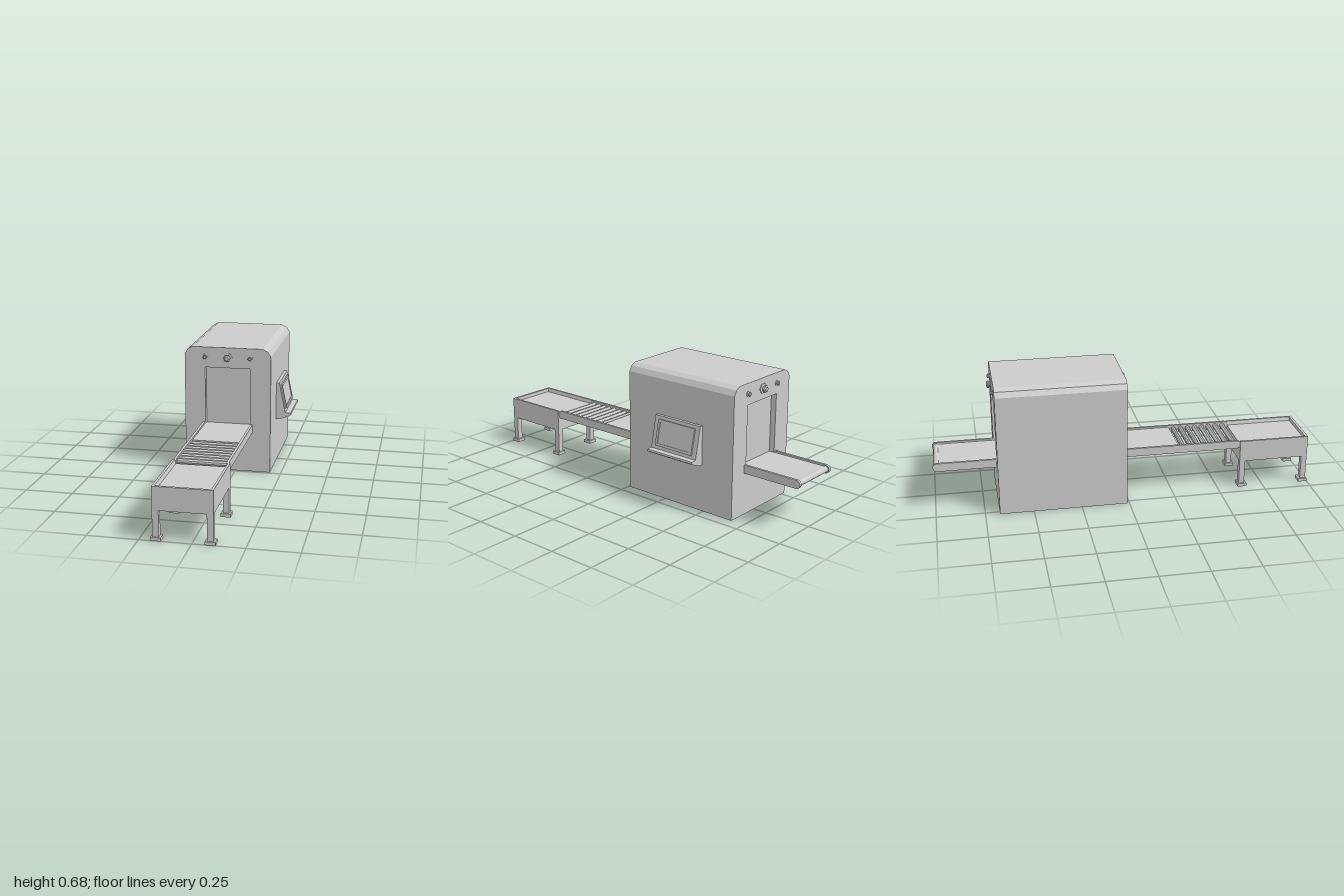
import * as THREE from 'three';

const CX = -0.0425; // centre line of the machine
const BACK = -0.676, FRONT = -0.011, RECESS = 0.03;
const mat = new THREE.MeshStandardMaterial({ color: 0xcccccc, flatShading: true });

function add(parent, name, geo, x = 0, y = 0, z = 0) {
  const m = new THREE.Mesh(geo, mat);
  m.name = name;
  m.position.set(x, y, z);
  parent.add(m);
  return m;
}

// box given by its limits
function block(parent, name, x0, x1, y0, y1, z0, z1) {
  return add(parent, name, new THREE.BoxGeometry(x1 - x0, y1 - y0, z1 - z0),
    (x0 + x1) / 2, (y0 + y1) / 2, (z0 + z1) / 2);
}

const points = list => list.map(p => new THREE.Vector2(...p));
const extrude = (shape, depth) => new THREE.ExtrudeGeometry(shape, { depth, bevelEnabled: false });

// closed outline symmetric about x = 0, from its right half (bottom to top)
function mirrored(right) {
  const left = right.map(([x, y]) => [-x, y]).reverse();
  return new THREE.Shape(points([...right, ...left]));
}

const bodyOutline = () => mirrored([[0.233, 0], [0.233, 0.64], [0.217, 0.667], [0.189, 0.681]]);

function buildBody() {
  const g = new THREE.Group();
  g.name = 'scannerBody';
  g.position.x = CX;
  add(g, 'housing', extrude(bodyOutline(), FRONT - BACK - 2 * RECESS), 0, 0, BACK + RECESS);
  // end walls with the tunnel mouth cut out
  const wall = bodyOutline();
  wall.holes.push(new THREE.Path(points([[-0.122, 0.25], [-0.122, 0.571], [0.122, 0.571], [0.122, 0.25]])));
  add(g, 'frontWall', extrude(wall, RECESS), 0, 0, FRONT - RECESS);
  add(g, 'backWall', extrude(wall, RECESS), 0, 0, BACK);
  return g;
}

// six-sided signal lamp: flange, neck and head
function lamp(r) {
  const profile = [[0, 0], [1, 0], [1, 0.15], [0.5, 0.2], [0.5, 0.4], [0.72, 0.5], [0.72, 0.72], [0.42, 0.95], [0, 0.95]];
  return new THREE.LatheGeometry(points(profile.map(([a, b]) => [a * r, b * r])), 6, Math.PI / 2);
}

function buildLamps() {
  const g = new THREE.Group();
  g.name = 'lamps';
  for (const [x, r] of [[-0.121, 0.016], [0, 0.027], [0.121, 0.016]]) {
    add(g, 'frontLamp', lamp(r), CX + x, 0.627, FRONT).rotation.x = Math.PI / 2;
    add(g, 'backLamp', lamp(r), CX + x, 0.627, BACK).rotation.x = -Math.PI / 2;
  }
  return g;
}

// bar lying across the machine
function crossBar(parent, name, radius, x0, x1, y, z, sides) {
  const geo = new THREE.CylinderGeometry(radius, radius, x1 - x0, sides);
  geo.rotateZ(Math.PI / 2);
  return add(parent, name, geo, (x0 + x1) / 2, y, z);
}

function buildTransport() {
  const g = new THREE.Group();
  g.name = 'transportBed';
  const y = 0.244, r = 0.022, zBack = -1 + r, zFront = 0.6;
  const inner = 0.124, outer = 0.137;
  // side rails with rounded ends
  for (const [x0, x1] of [[CX - outer, CX - inner], [CX + inner, CX + outer]]) {
    block(g, 'sideRail', x0, x1, y - r, y + r, zBack, zFront);
    crossBar(g, 'railEnd', r, x0, x1, y, zBack, 16);
    crossBar(g, 'railEnd', r, x0, x1, y, zFront, 16);
  }
  block(g, 'belt', CX - inner, CX + inner, y - 0.017, y + 0.013, zBack, 0.285);
  crossBar(g, 'endRoller', 0.016, CX - inner, CX + inner, y, zBack, 12);
  for (let i = 0; i < 8; i++)
    crossBar(g, 'roller', 0.014, CX - inner, CX + inner, y, 0.312 + i * 0.0395, 10);
  return g;
}

function buildTable() {
  const g = new THREE.Group();
  g.name = 'table';
  g.position.x = CX;
  const w = 0.1435, z0 = 0.618, z1 = 0.994, top = 0.263;
  // tray with sloping inner sides
  const tray = mirrored([[w, 0.147], [w, top], [w - 0.012, top], [w - 0.018, 0.243]]);
  add(g, 'tableTop', extrude(tray, z1 - z0), 0, 0, z0);
  block(g, 'frontRim', 0.012 - w, w - 0.012, 0.24, top, z1 - 0.014, z1);
  for (const s of [-1, 1]) {
    const x = s * (w - 0.0155);
    for (const [zLeg, zFoot] of [[z0 + 0.015, 0.635], [z1 - 0.015, 0.976]]) {
      block(g, 'leg', x - 0.0155, x + 0.0155, 0.017, 0.147, zLeg - 0.015, zLeg + 0.015);
      block(g, 'foot', x - 0.025, x + 0.025, 0, 0.017, zFoot - 0.024, zFoot + 0.024);
    }
  }
  return g;
}

function buildConsole() {
  const g = new THREE.Group();
  g.name = 'console';
  const zMid = -0.345;
  const profile = new THREE.Shape(points([[0.188, 0.245], [0.21, 0.246], [0.264, 0.268], [0.274, 0.275],
    [0.271, 0.284], [0.242, 0.286], [0.207, 0.452], [0.188, 0.452]]));
  add(g, 'consoleCase', extrude(profile, 0.286), 0, 0, zMid - 0.143);
  // framed screen lying on the slanted face
  const s = new THREE.Group();
  s.name = 'screen';
  s.position.set(0.2245, 0.369, zMid);
  s.rotation.z = 0.207;
  const h = 0.068, w = 0.116, b = 0.013, t = 0.008;
  block(s, 'screenPanel', -0.004, 0.004, -h, h, -w, w);
  for (const k of [-1, 1]) {
    const y = k * (h - b / 2), z = k * (w - b / 2);
    block(s, 'crossBezel', -0.002, t, y - b / 2, y + b / 2, -w, w);
    block(s, 'sideBezel', -0.002, t, b - h, h - b, z - b / 2, z + b / 2);
  }
  g.add(s);
  return g;
}

export function createModel() {
  const model = new THREE.Group();
  model.name = 'baggageScanner';
  model.add(buildBody(), buildLamps(), buildTransport(), buildTable(), buildConsole());
  return model;
}
